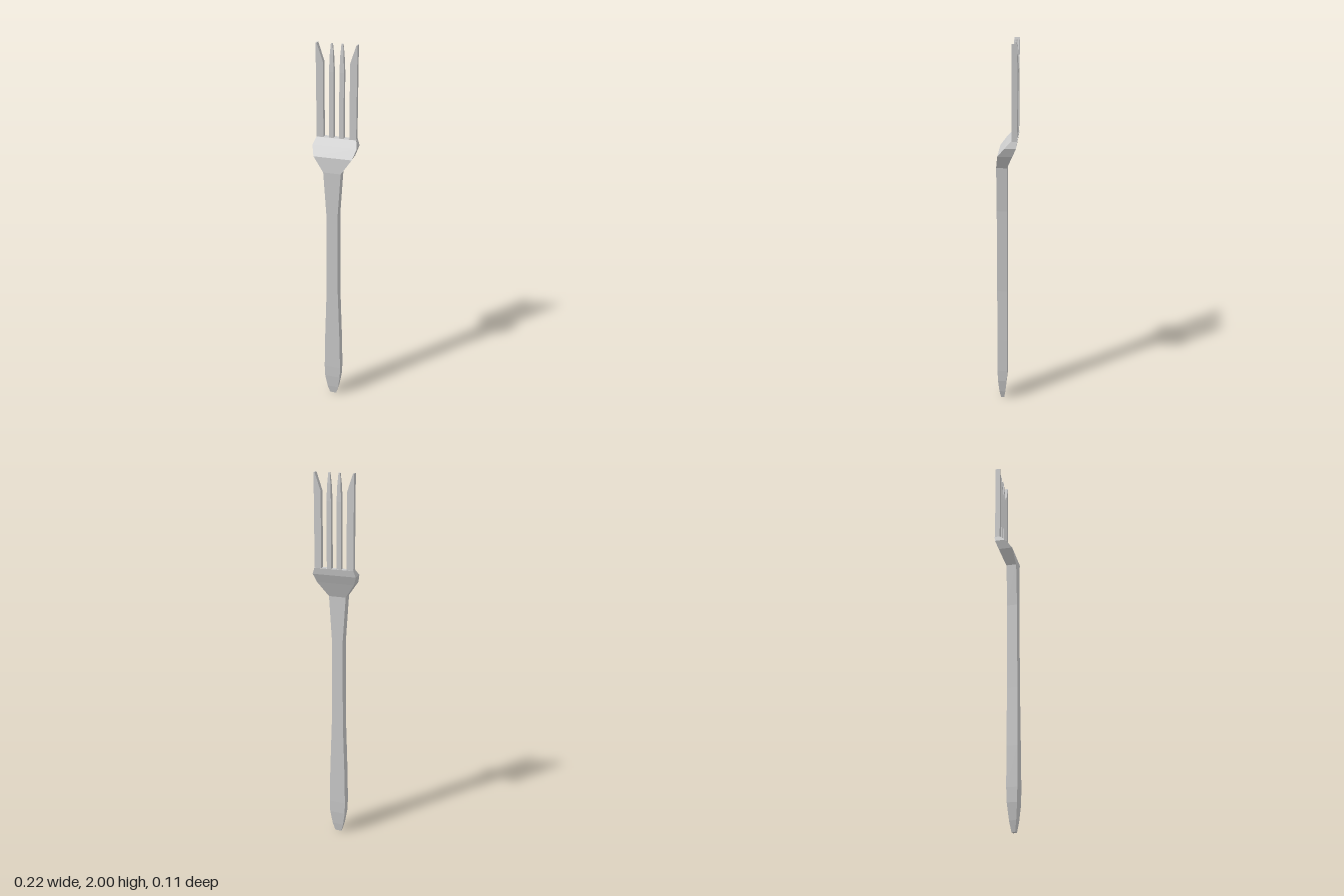
import * as THREE from 'three';

const steel = new THREE.MeshStandardMaterial({ color: 0xcccccc, flatShading: true });

// Loft rectangular sections [y, centre x, half width, back z, front z], capped at both ends
function loft(rows) {
  const positions = [];
  const index = [];
  for (const [y, cx, w, back, front] of rows) {
    positions.push(cx - w, y, front, cx + w, y, front, cx + w, y, back, cx - w, y, back);
  }
  for (let r = 0; r < rows.length - 1; r++) {
    for (let i = 0; i < 4; i++) {
      const a = r * 4 + i;
      const b = r * 4 + (i + 1) % 4;
      index.push(a, b, b + 4, a, b + 4, a + 4);
    }
  }
  const t = (rows.length - 1) * 4;
  index.push(0, 2, 1, 0, 3, 2, t, t + 1, t + 2, t, t + 2, t + 3);
  const indexed = new THREE.BufferGeometry();
  indexed.setAttribute('position', new THREE.Float32BufferAttribute(positions, 3));
  indexed.setIndex(index);
  const geometry = indexed.toNonIndexed();
  geometry.computeVertexNormals();
  return geometry;
}

export function createModel() {
  const fork = new THREE.Group();
  fork.name = 'fork';
  const add = (name, geometry) => {
    const mesh = new THREE.Mesh(geometry, steel);
    mesh.name = name;
    fork.add(mesh);
    return mesh;
  };

  // Handle flowing into the stepped-back head
  add('handleAndHead', loft([
    [0, 0, 0.018, 0.018, 0.036],
    [0.05, 0, 0.031, 0.01, 0.044],
    [0.13, 0, 0.043, 0.002, 0.051],
    [0.2, 0, 0.045, 0, 0.053],
    [0.4, 0, 0.041, 0, 0.053],
    [0.7, 0, 0.031, 0, 0.053],
    [1.16, 0, 0.029, 0, 0.053],
    [1.395, 0, 0.044, 0, 0.053],
    [1.47, 0, 0.096, -0.029, 0.043],
    [1.515, 0, 0.111, -0.048, 0.008],
    [1.547, 0, 0.1, -0.053, -0.023],
  ]));

  for (const [side, s] of [['left', 1], ['right', -1]]) {
    // Outer tine, cut at a slant toward the middle
    const outline = new THREE.Shape([
      [0.065, 1.54], [0.099, 1.54], [0.099, 2], [0.094, 2], [0.065, 1.915],
    ].map(([x, y]) => new THREE.Vector2(s * x, y)));
    const outer = new THREE.ExtrudeGeometry(outline, { depth: 0.026, bevelEnabled: false });
    add(`${side}OuterTine`, outer).position.z = -0.051;

    // Inner tine, tapering to a blunt point
    add(`${side}InnerTine`, loft([
      [1.54, s * 0.025, 0.011, -0.051, -0.026],
      [1.87, s * 0.025, 0.011, -0.051, -0.026],
      [1.95, s * 0.025, 0.008, -0.048, -0.03],
      [2, s * 0.025, 0.004, -0.043, -0.035],
    ]));
  }
  return fork;
}
